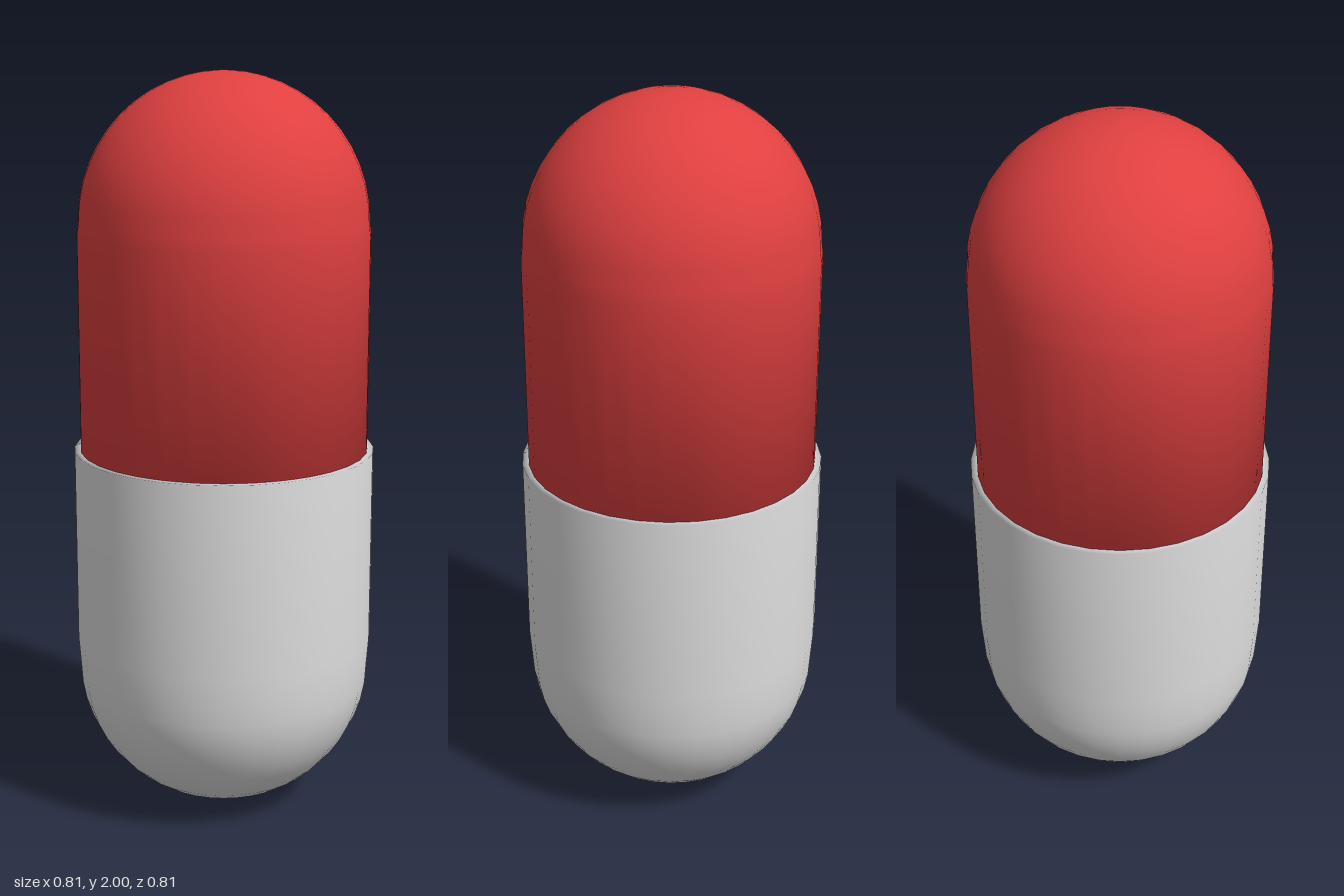
import * as THREE from 'three';

const SIDES = 32;
const RINGS = 12;

// Quarter-circle profile from the equator (r, y) to the pole at yPole
function dome(r, y, yPole) {
  const pts = [];
  for (let i = 0; i <= RINGS; i++) {
    const a = (i / RINGS) * Math.PI / 2;
    pts.push(new THREE.Vector2(i === RINGS ? 0 : r * Math.cos(a), y + (yPole - y) * Math.sin(a)));
  }
  return pts;
}

function lathe(name, points, material) {
  const mesh = new THREE.Mesh(new THREE.LatheGeometry(points, SIDES), material);
  mesh.name = name;
  return mesh;
}

export function createModel() {
  const red = new THREE.MeshStandardMaterial({ color: 0xe04040 });
  red.name = 'red shell';
  const white = new THREE.MeshStandardMaterial({ color: 0xdddddd });
  white.name = 'white shell';
  const v = (x, y) => new THREE.Vector2(x, y);

  const group = new THREE.Group();
  group.name = 'capsule';

  // Upper half: straight wall, faint shoulder, then the dome
  group.add(lathe('upperShell', [
    v(0, 0.96), v(0.388, 0.96), v(0.388, 1.58),
    ...dome(0.384, 1.61, 2),
  ], red));

  // Lower half: dome, faint shoulder, slightly wider wall and a flat rim
  group.add(lathe('lowerShell', [
    ...dome(0.399, 0.4, 0.005).reverse(),
    v(0.405, 0.48), v(0.405, 1), v(0.38, 1),
  ], white));

  return group;
}
